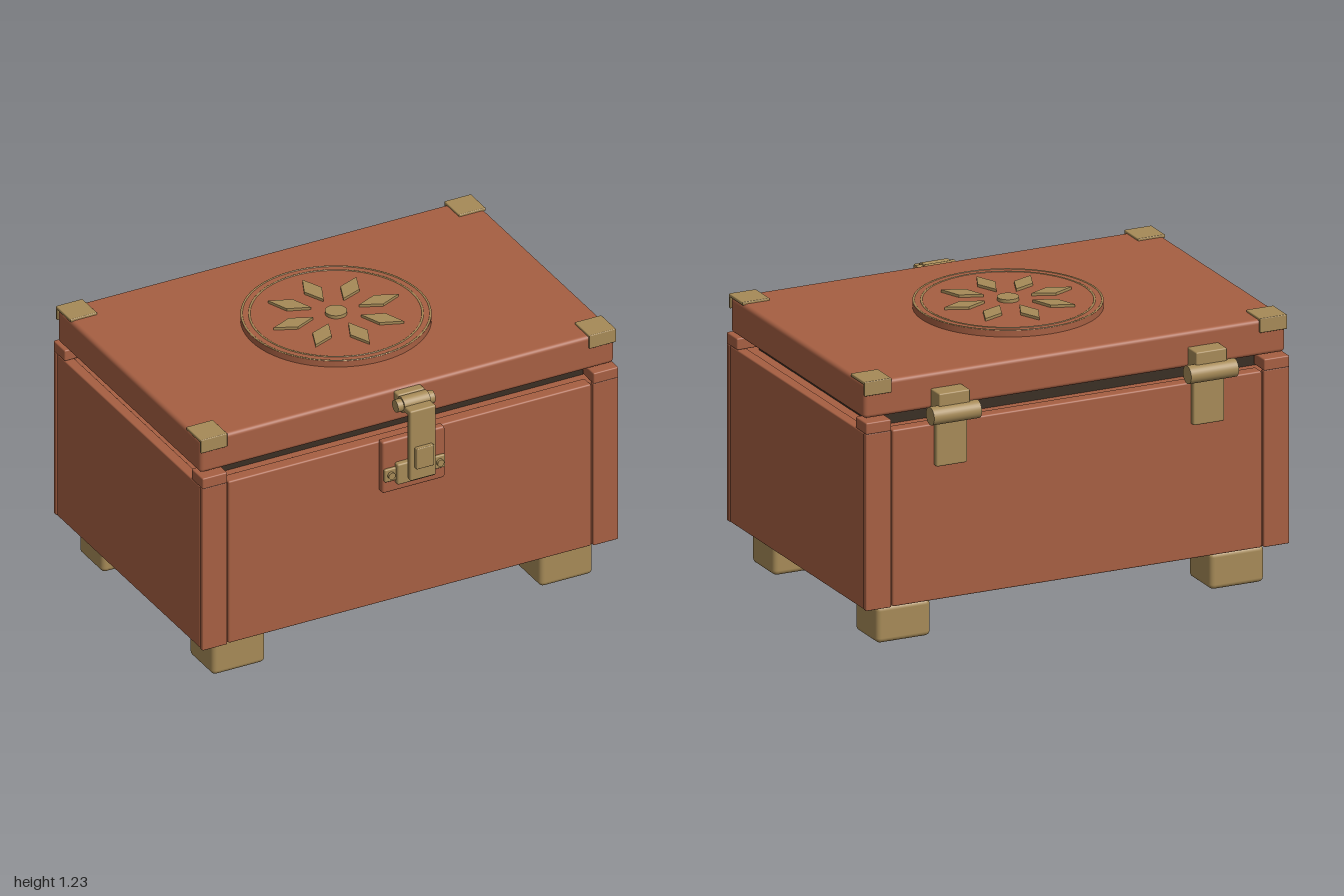
import * as THREE from 'three';
import { RoundedBoxGeometry } from 'three/addons/geometries/RoundedBoxGeometry.js';

const mat = (name, color) => {
  const m = new THREE.MeshStandardMaterial({ color });
  m.name = name;
  return m;
};

export function createModel() {
  const wood = mat('red brown wood', 0xa65f42);
  const brass = mat('aged brass', 0xa68a57);
  const dark = mat('dark lining', 0x3a2e24);
  const base = mat('dark base wood', 0x5c3226);

  const chest = new THREE.Group();
  chest.name = 'chest';
  const midZ = -0.025;

  const add = (name, geometry, material, x = 0, y = 0, z = 0) => {
    const mesh = new THREE.Mesh(geometry, material);
    mesh.name = name;
    mesh.position.set(x, y, z);
    chest.add(mesh);
    return mesh;
  };
  // box given by its limits on each axis, optionally with rounded edges
  const box = (name, material, [x0, x1], [y0, y1], [z0, z1], r = 0) => {
    const s = [x1 - x0, y1 - y0, z1 - z0];
    const g = r ? new RoundedBoxGeometry(...s, 3, r) : new THREE.BoxGeometry(...s);
    return add(name, g, material, (x0 + x1) / 2, (y0 + y1) / 2, (z0 + z1) / 2);
  };
  // limits mirrored to the chosen side
  const flip = (s, a, b) => (s > 0 ? [a, b] : [-b, -a]);
  const flipZ = (s, a, b) => (s > 0 ? [midZ + a, midZ + b] : [midZ - b, midZ - a]);
  const rod = (name, r, length, x, y, z) => {
    const mesh = add(name, new THREE.CylinderGeometry(r, r, length, 32), brass, x, y, z);
    mesh.rotation.z = Math.PI / 2;
    return mesh;
  };

  // body
  box('basePlinth', base, [-0.92, 0.92], [0.15, 0.2], [-0.595, 0.545], 0.01);
  box('bodyCore', wood, [-0.985, 0.985], [0.182, 0.96], [-0.675, 0.625]);
  box('liningLip', dark, [-0.9, 0.9], [0.95, 1.02], [-0.575, 0.53]);
  for (const s of [1, -1]) {
    box('sidePanel', wood, flip(s, 0.95, 0.998), [0.18, 0.97], [-0.662, 0.612], 0.006);
    box(s > 0 ? 'frontPanel' : 'backPanel', wood, [-0.872, 0.872], [0.18, 0.97], flipZ(s, 0.6, 0.661), 0.008);
  }

  // corners: posts, caps, feet and lid brackets
  for (const sx of [1, -1]) for (const sz of [1, -1]) {
    box('cornerPost', wood, flip(sx, 0.88, 1), [0.18, 0.972], flipZ(sz, 0.639, 0.665), 0.005);
    box('postCap', wood, flip(sx, 0.88, 1), [0.97, 1.022], flipZ(sz, 0.565, 0.667), 0.006);
    box('foot', brass, flip(sx, 0.66, 0.915), [0, 0.165], flipZ(sz, 0.385, 0.6), 0.022);
    box('bracketTop', brass, flip(sx, 0.87, 0.998), [1.185, 1.2], flipZ(sz, 0.515, 0.645), 0.004);
    box('bracketFace', brass, flip(sx, 0.87, 0.998), [1.135, 1.2], flipZ(sz, 0.635, 0.648), 0.004);
  }

  // lid
  box('lid', wood, [-0.995, 0.995], [1.03, 1.19], [-0.662, 0.612], 0.018);

  // medallion
  add('medallionDisc', new THREE.CylinderGeometry(0.405, 0.405, 0.03, 72), wood, 0, 1.204, midZ);
  for (const r of [0.4, 0.367]) {
    const ring = add('medallionRing', new THREE.TorusGeometry(r, 0.005, 8, 72), brass, 0, 1.217, midZ);
    ring.rotation.x = Math.PI / 2;
  }
  add('medallionHub', new THREE.CylinderGeometry(0.047, 0.047, 0.02, 32), brass, 0, 1.224, midZ);
  const petal = new THREE.Shape([[0.11, 0], [0.205, -0.042], [0.3, 0], [0.205, 0.042]]
    .map(([x, y]) => new THREE.Vector2(x, y)));
  const petalGeometry = new THREE.ExtrudeGeometry(petal, { depth: 0.015, bevelEnabled: false });
  petalGeometry.rotateX(-Math.PI / 2);
  for (let i = 0; i < 8; i++) {
    add('petal', petalGeometry, brass, 0, 1.216, midZ).rotation.y = (i * Math.PI) / 4;
  }

  // hasp on the front
  box('haspBackplate', wood, [-0.15, 0.15], [0.73, 0.98], [0.63, 0.67], 0.01);
  box('staplePlate', brass, [-0.145, 0.145], [0.788, 0.85], [0.665, 0.682], 0.006);
  box('stapleBlock', brass, [-0.092, 0.092], [0.77, 0.87], [0.665, 0.697], 0.008);
  for (const s of [1, -1]) {
    const rivet = add('stapleRivet', new THREE.CylinderGeometry(0.016, 0.016, 0.02, 20), brass, s * 0.117, 0.82, 0.685);
    rivet.rotation.x = Math.PI / 2;
  }
  box('haspLidPlate', brass, [-0.065, 0.065], [1.1, 1.18], [0.605, 0.65], 0.008);
  rod('haspPin', 0.028, 0.18, 0, 1.143, 0.67);
  rod('haspBarrel', 0.036, 0.125, 0, 1.143, 0.67);
  box('haspArmTop', brass, [-0.0625, 0.0625], [1.12, 1.15], [0.68, 0.755], 0.008);
  box('haspArm', brass, [-0.0625, 0.0625], [0.81, 1.15], [0.725, 0.755], 0.008);
  box('haspCatch', brass, [-0.042, 0.042], [0.872, 0.972], [0.75, 0.775], 0.004);

  // hinges on the back
  for (const s of [1, -1]) {
    const x = s * 0.607;
    const width = [x - 0.073, x + 0.073];
    rod('hingeBarrel', 0.04, 0.225, x, 1.025, -0.735);
    box('hingeLidLeaf', brass, width, [1.035, 1.12], [-0.743, -0.655], 0.006);
    box('hingeBodyLeaf', brass, width, [0.785, 1.0], [-0.717, -0.685], 0.008);
  }

  return chest;
}
